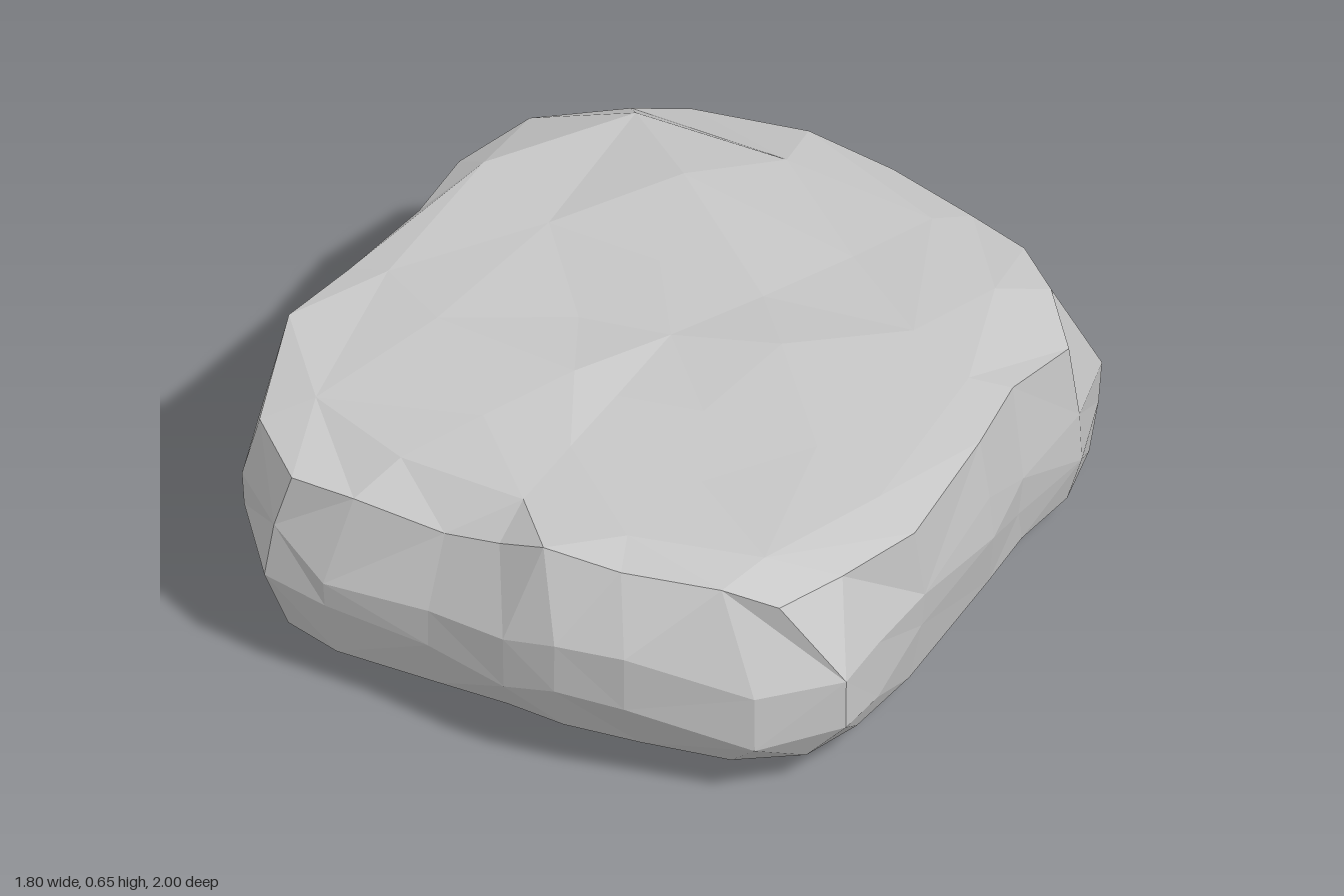
import * as THREE from 'three';

// Outline of the slab, counterclockwise from the front: x, z
const BELT = [
  0.03, 0.99, 0.18, 1.005, 0.36, 0.97, 0.67, 0.87, 0.85, 0.72, 0.87, 0.57, 0.885, 0.36,
  0.89, 0, 0.875, -0.2, 0.895, -0.48, 0.82, -0.76, 0.7, -0.83, 0.5, -0.9, 0.2, -1,
  -0.1, -0.975, -0.48, -0.99, -0.64, -0.92, -0.83, -0.77, -0.885, -0.57, -0.865, -0.2,
  -0.865, 0.1, -0.9, 0.36, -0.84, 0.7, -0.67, 0.89, -0.5, 0.94, -0.2, 0.945,
];
// Upper edge: x, y, z
const RIM = [
  -0.04, 0.575, 0.865, 0.1, 0.635, 0.9, 0.3, 0.605, 0.87, 0.55, 0.595, 0.81, 0.69, 0.56, 0.77,
  0.78, 0.575, 0.6, 0.87, 0.59, 0.38, 0.86, 0.61, 0, 0.84, 0.62, -0.22, 0.87, 0.58, -0.47,
  0.74, 0.61, -0.63, 0.6, 0.6, -0.76, 0.42, 0.59, -0.83, 0.16, 0.59, -0.91,
  -0.08, 0.62, -0.92, -0.42, 0.55, -0.95, -0.58, 0.51, -0.93, -0.78, 0.52, -0.77,
  -0.84, 0.55, -0.5, -0.81, 0.6, -0.22, -0.84, 0.63, 0.1, -0.88, 0.65, 0.36,
  -0.79, 0.59, 0.7, -0.62, 0.575, 0.86, -0.45, 0.565, 0.855, -0.2, 0.54, 0.85,
];
// Lower edge: x, y, z
const FOOT = [
  0, 0.11, 0.9, 0.17, 0.125, 0.93, 0.36, 0.1, 0.88, 0.58, 0.08, 0.82, 0.75, 0.1, 0.74,
  0.82, 0.12, 0.6, 0.84, 0.105, 0.35, 0.86, 0.14, -0.05, 0.85, 0.13, -0.25, 0.86, 0.1, -0.48,
  0.8, 0.06, -0.72, 0.66, 0.01, -0.8, 0.47, 0.03, -0.88, 0.18, 0.055, -0.98,
  -0.08, 0.01, -0.9, -0.42, 0.05, -0.95, -0.62, 0.06, -0.86, -0.75, 0.08, -0.74,
  -0.84, 0.1, -0.55, -0.84, 0.12, -0.2, -0.83, 0.12, 0.1, -0.85, 0.13, 0.36,
  -0.8, 0.12, 0.64, -0.64, 0.1, 0.84, -0.48, 0.1, 0.89, -0.2, 0.1, 0.89,
];
const N = BELT.length / 2;

function seeded(seed) {
  return () => {
    seed = (seed * 16807) % 2147483647;
    return seed / 2147483647;
  };
}

function rockGeometry() {
  const rand = seeded(90210);
  const jitter = (amount) => (rand() - 0.5) * 2 * amount;
  const at = (table, i) => table.slice(i * 3, i * 3 + 3);

  // A ring of N corners; with a step, neighbours share a corner for larger facets
  const ring = (point, step = 1) => {
    const points = [];
    for (let i = 0; i < N; i++) points.push(i % step ? points[i - 1] : point(i));
    return points;
  };
  // Nearly flat underside, dropping towards the back
  const underside = (scale, step) => ring((i) => {
    const [x, , z] = at(FOOT, i);
    const drop = Math.max(0, -z * scale - 0.25) * 0.08;
    return [x * scale, 0.062 - drop + jitter(0.008), z * scale];
  }, step);
  // Uneven side wall, at a fraction of the way up from foot to rim
  const wall = (fraction, scale) => ring((i) => {
    const t = fraction + jitter(0.12);
    const s = scale - rand() * 0.025;
    const y = FOOT[i * 3 + 1] * (1 - t) + RIM[i * 3 + 1] * t;
    return [BELT[i * 2] * s, y, BELT[i * 2 + 1] * s];
  });
  // Gently bumpy top, blending in from the rim
  const top = (scale, blend, step, bump) => ring((i) => {
    const [x, y, z] = at(RIM, i);
    const s = scale + jitter(0.025);
    return [x * s, y + (0.645 - y) * blend + jitter(bump), z * s];
  }, step);

  const rings = [
    ring(() => [0, 0.06, 0], N), underside(0.45, 4), underside(0.88, 2), ring((i) => at(FOOT, i)),
    wall(0.28, 1.01), wall(0.57, 1.007), ring((i) => at(RIM, i)),
    top(0.86, 0.72, 2, 0.01), top(0.6, 0.95, 3, 0.02), top(0.3, 1, 4, 0.02),
    ring(() => [0, 0.645, 0], N),
  ];

  // Join the rings, turning the diagonals both ways for irregular facets
  const positions = [];
  const tri = (a, b, c) => {
    if (a !== b && b !== c && c !== a) positions.push(...a, ...b, ...c);
  };
  for (let k = 0; k < rings.length - 1; k++) {
    for (let i = 0; i < N; i++) {
      const j = (i + 1) % N;
      const a = rings[k][i], b = rings[k][j], c = rings[k + 1][j], d = rings[k + 1][i];
      if (rand() < 0.5) { tri(a, b, c); tri(a, c, d); }
      else { tri(a, b, d); tri(b, c, d); }
    }
  }
  const geometry = new THREE.BufferGeometry();
  geometry.setAttribute('position', new THREE.Float32BufferAttribute(positions, 3));
  geometry.computeVertexNormals();
  return geometry;
}

export function createModel() {
  const stone = new THREE.MeshStandardMaterial({ color: 0xc6c6c6, flatShading: true });
  stone.name = 'grey stone';
  const rock = new THREE.Mesh(rockGeometry(), stone);
  rock.name = 'rockSlab';
  const group = new THREE.Group();
  group.name = 'flatRock';
  group.add(rock);
  return group;
}
